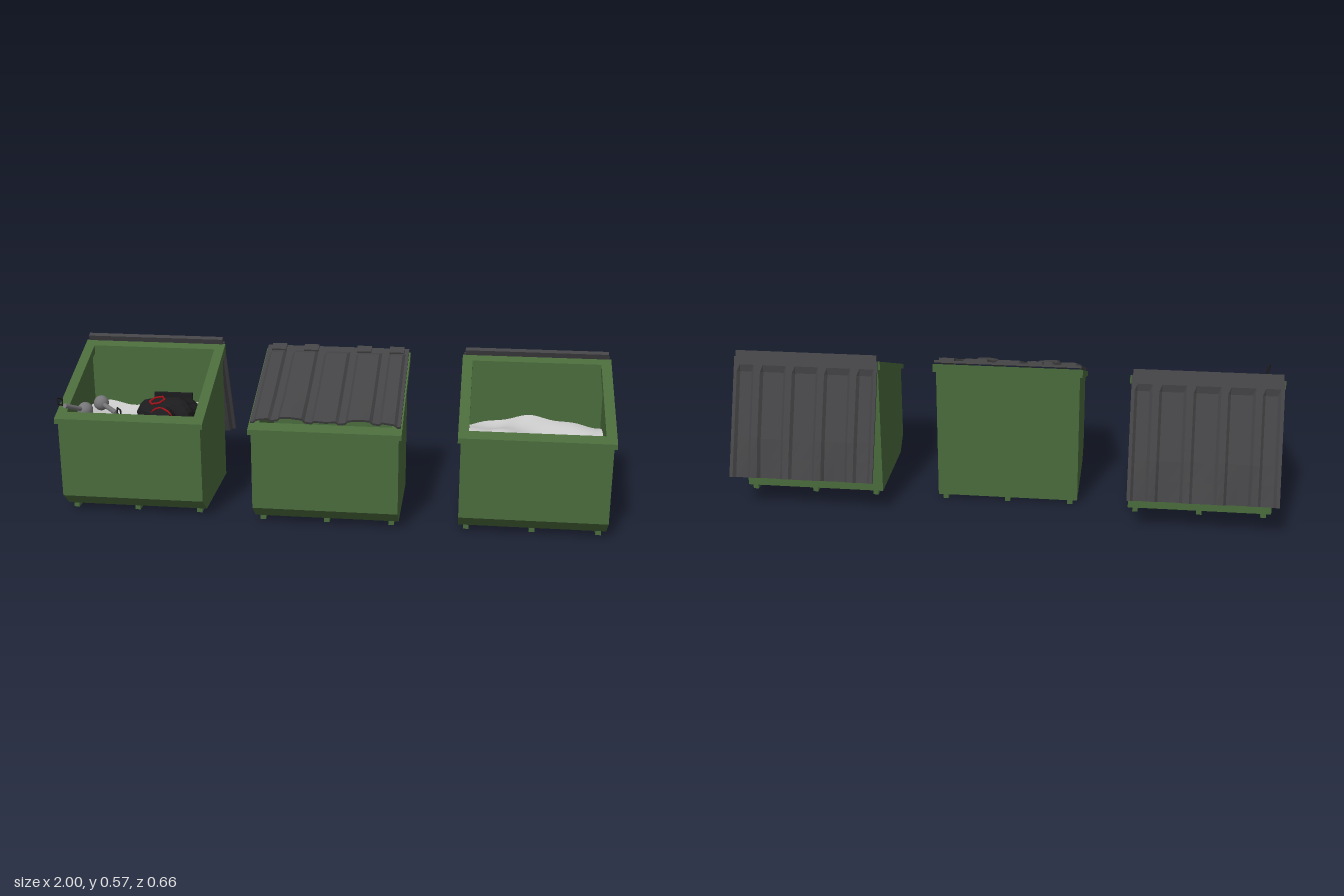
import * as THREE from 'three';

const mat = (color, flat = true) =>
  new THREE.MeshStandardMaterial({ color, flatShading: flat, side: THREE.DoubleSide });
const green = mat(0x4a6b3c), plastic = mat(0x444446), black = mat(0x1c1c1e);
const red = mat(0xa01018), metal = mat(0x77777a, false), paper = mat(0xcccccc, false);

function add(parent, name, geometry, material, x = 0, y = 0, z = 0) {
  const mesh = new THREE.Mesh(geometry, material);
  mesh.name = name;
  mesh.position.set(x, y, z);
  parent.add(mesh);
  return mesh;
}
const box = (w, h, d) => new THREE.BoxGeometry(w, h, d);

// Side outline given as [z, y] points, extruded from x0 to x1
function prism(points, x0, x1) {
  const shape = new THREE.Shape(points.map(([z, y]) => new THREE.Vector2(z, y)));
  const g = new THREE.ExtrudeGeometry(shape, { depth: x1 - x0, bevelEnabled: false });
  return g.rotateY(-Math.PI / 2).translate(x1, 0, 0);
}

// Sloped top of the rim, and its lower edge
const rimTop = z => 0.372 + (0.325 - z) * 0.395;
const rimLow = z => 0.353 + (0.325 - z) * 0.366;
const rimBar = (z0, z1, x0, x1) =>
  prism([[z0, rimLow(z0)], [z0, rimTop(z0)], [z1, rimTop(z1)], [z1, rimLow(z1)]], x0, x1);

function makeBin() {
  const bin = new THREE.Group();
  const w = 0.2625, t = 0.014;
  // Front, chamfer, floor and back as one folded plate
  add(bin, 'shell', prism([
    [0.315, 0.37], [0.315, 0.07], [0.252, 0.016], [-0.105, 0.016], [-0.105, 0.53],
    [-0.091, 0.525], [-0.091, 0.03], [0.247, 0.03], [0.301, 0.077], [0.301, 0.37],
  ], -w + t, w - t), green);
  const side = [[0.315, 0.37], [0.315, 0.07], [0.252, 0.016], [-0.105, 0.016], [-0.105, 0.53]];
  for (const s of [-1, 1]) {
    add(bin, 'sideWall', prism(side, -t / 2, t / 2), green, s * (w - t / 2));
    add(bin, 'sideRim', rimBar(0.325, -0.115, -0.0185, 0.0185), green, s * 0.254);
  }
  add(bin, 'frontRim', rimBar(0.325, 0.286, -0.2355, 0.2355), green);
  add(bin, 'backRim', rimBar(-0.083, -0.115, -0.2355, 0.2355), green);
  for (const x of [-0.235, 0, 0.235])
    add(bin, 'skid', box(0.02, 0.018, 0.357), green, x, 0.009, 0.0735);
  return bin;
}

// Corrugated lid: hinge edge at the origin, free edge towards +z
function makeLid(open) {
  const lid = new THREE.Group();
  lid.name = open ? 'openLid' : 'closedLid';
  const cols = [[-0.267, 0], [-0.255, 0], [-0.245, 1]];
  for (const g of [-0.18, -0.06, 0.06, 0.18])
    cols.push([g - 0.022, 1], [g - 0.012, 0], [g + 0.012, 0], [g + 0.022, 1]);
  // extra columns carry the warp across the wide panels
  for (const x of [-0.12, 0, 0.12]) cols.push([x, 1]);
  cols.push([0.245, 1], [0.255, 0], [0.267, 0]);
  cols.sort((a, b) => a[0] - b[0]);
  const rows = [0, 0.03, 0.055, 0.2, 0.3, 0.37, 0.445];
  const nx = cols.length - 1, nz = rows.length - 1;
  const g = new THREE.BoxGeometry(1, 1, 1, nx, 1, nz), p = g.attributes.position;
  for (let i = 0; i < p.count; i++) {
    const [x, h] = cols[Math.round((p.getX(i) + 0.5) * nx)];
    const z = rows[Math.round((p.getZ(i) + 0.5) * nz)];
    const ridge = z > 0.04 ? h * 0.011 : 0;
    const warp = 0.016 * Math.sin(Math.PI * 2 * x / 0.534) ** 2 * Math.max(0, (z - 0.3) / 0.145);
    p.setXYZ(i, x, (p.getY(i) > 0 ? 0.009 : 0) + ridge + warp, z);
  }
  add(lid, 'lidPanel', g, plastic);
  for (const x of [-0.222, -0.1, 0.1, 0.222])
    add(lid, 'hinge', box(0.055, 0.014, 0.035), plastic, x, 0.011, 0.018);
  if (open) add(lid, 'hingeLip', box(0.525, 0.018, 0.024), plastic, 0, 0.009, -0.01);
  lid.position.set(0, 0.552, open ? -0.13 : -0.117);
  lid.rotation.x = open ? 1.966 : 0.38;
  return lid;
}

// Crumpled sheet covering the contents
function makeSheet(seed) {
  const g = new THREE.PlaneGeometry(0.495, 0.39, 24, 20).rotateX(-Math.PI / 2);
  const p = g.attributes.position;
  for (let i = 0; i < p.count; i++) {
    const x = p.getX(i), z = p.getZ(i);
    p.setY(i, 0.014 * Math.sin(13 * x + 7 * z + seed) + 0.01 * Math.sin(24 * z - 9 * x + seed * 2)
      + 0.005 * Math.sin(37 * x + 21 * z));
  }
  g.computeVertexNormals();
  return g;
}

// Rounded lump, squashed and dented by a rule
function makeSack(rx, ry, rz) {
  const g = new THREE.SphereGeometry(1, 18, 10), p = g.attributes.position;
  for (let i = 0; i < p.count; i++) {
    const x = p.getX(i), y = p.getY(i), z = p.getZ(i);
    const k = 1 + 0.09 * Math.sin(5 * x + 2 * z) + 0.08 * Math.sin(6 * z - 3 * x + 2 * y);
    p.setXYZ(i, x * k * rx, y * k * ry, z * k * rz);
  }
  return g;
}

function rod(parent, name, a, b, r, material) {
  const d = b.clone().sub(a);
  const m = add(parent, name, new THREE.CylinderGeometry(r, r, d.length(), 8), material);
  m.position.copy(a).addScaledVector(d, 0.5);
  m.quaternion.setFromUnitVectors(new THREE.Vector3(0, 1, 0), d.normalize());
}

// Ball on a stem with a square wire handle, lying from a to b
function makeBallTool(a, b) {
  const tool = new THREE.Group();
  tool.name = 'ballTool';
  const dir = b.clone().sub(a).normalize();
  add(tool, 'ball', new THREE.SphereGeometry(0.029, 14, 10), metal, a.x, a.y, a.z);
  rod(tool, 'stem', a, b, 0.009, metal);
  const c = b.clone().addScaledVector(dir, 0.012);
  const tip = c.clone().addScaledVector(dir, 0.025);
  const up = new THREE.Vector3(0, 0.024, 0);
  const ring = [c, tip, tip.clone().add(up), c.clone().add(up)];
  ring.forEach((q, i) => rod(tool, 'wireHandle', q, ring[(i + 1) % 4], 0.003, black));
  return tool;
}

function makeTrash() {
  const trash = new THREE.Group();
  trash.name = 'trash';
  const v = (x, y, z) => new THREE.Vector3(x, y, z);
  trash.add(makeBallTool(v(-0.19, 0.335, 0.02), v(-0.11, 0.325, 0.1)));
  trash.add(makeBallTool(v(-0.197, 0.365, 0.193), v(-0.242, 0.41, 0.285)));
  // Black sack with a red six-sided ring
  add(trash, 'sack', makeSack(0.115, 0.055, 0.085), black, 0.09, 0.325, 0.07);
  const ring = add(trash, 'redRing', new THREE.TorusGeometry(0.03, 0.004, 6, 6), red, 0.05, 0.378, 0.092);
  ring.rotation.set(-Math.PI / 2 + 0.15, -0.2, 0);
  // Small pack with a red band
  const pack = new THREE.Group();
  pack.name = 'smallPack';
  add(pack, 'packBody', makeSack(0.06, 0.045, 0.05), black);
  const band = add(pack, 'packBand', new THREE.TorusGeometry(1, 0.08, 6, 18), red);
  band.scale.set(0.058, 0.046, 0.05);
  band.rotation.y = Math.PI / 2;
  band.scale.x = 0.05;
  pack.position.set(0.1, 0.348, 0.225);
  pack.rotation.y = 1.2;
  trash.add(pack);
  add(trash, 'darkBoard', box(0.15, 0.05, 0.012), black, 0.07, 0.33, -0.078);
  return trash;
}

export function createModel() {
  const model = new THREE.Group();
  const bins = [
    { name: 'rightBin', x: -0.7275, z: -0.033, open: true, trash: true },
    { name: 'middleBin', x: -0.0125, z: 0, open: false },
    { name: 'leftBin', x: 0.7275, z: 0, open: true },
  ];
  bins.forEach(({ name, x, z, open, trash }, i) => {
    const bin = makeBin();
    bin.name = name;
    bin.position.set(x, 0, z);
    bin.add(makeLid(open));
    if (open) add(bin, 'sheet', makeSheet(i * 1.7), paper, 0, 0.3, 0.105);
    if (trash) bin.add(makeTrash());
    model.add(bin);
  });
  return model;
}
